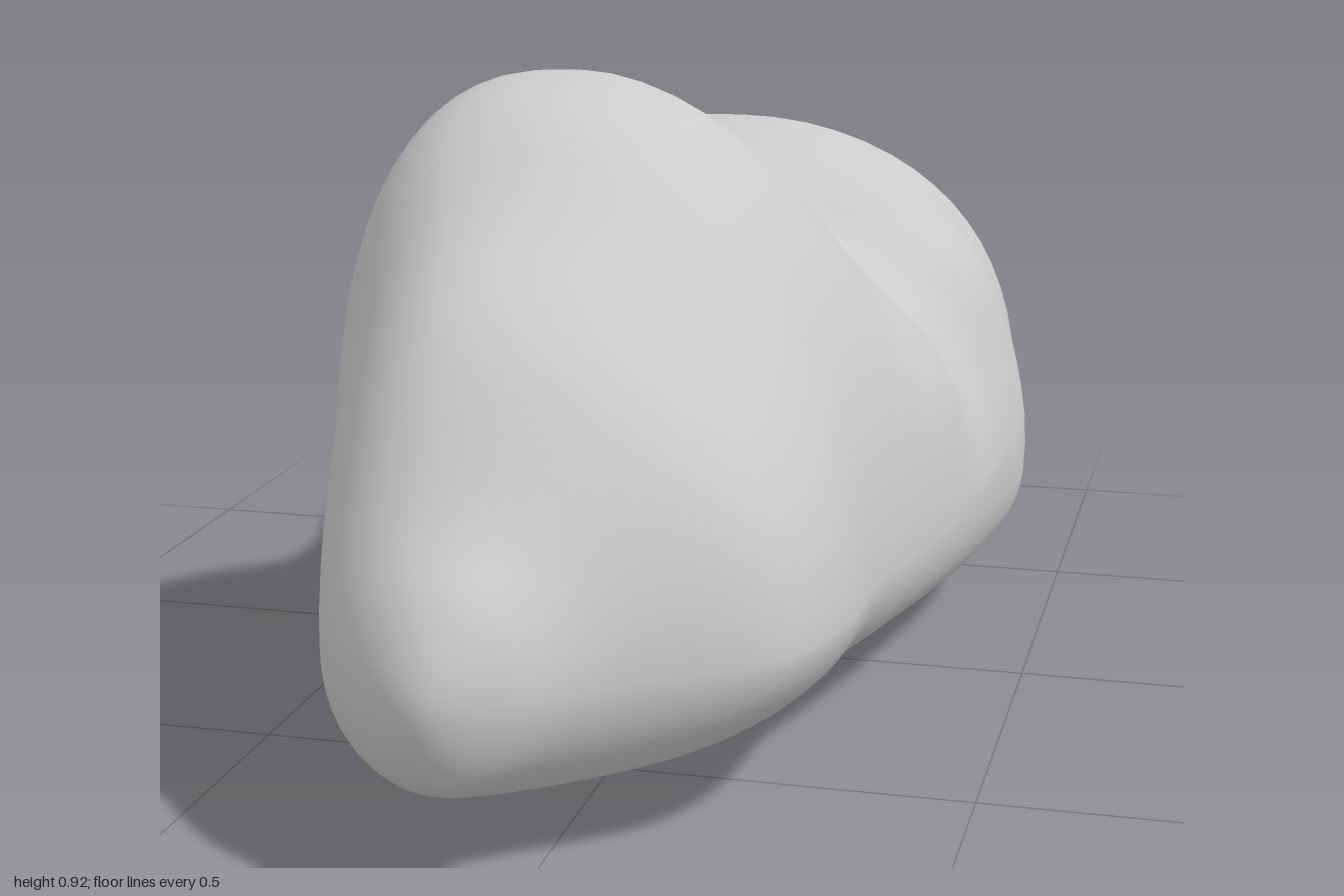
import * as THREE from 'three';
import { mergeVertices } from 'three/addons/utils/BufferGeometryUtils.js';

// Cross-sections from front to back:
// z, left x, right x, bottom y, top y, peak x, roundness of left and right shoulder
const SECTIONS = [
  [1.00, -0.09, -0.09, 0.26, 0.26, -0.09, 2.0, 2.0],
  [0.96, -0.18, 0.00, 0.15, 0.37, -0.09, 2.0, 2.0],
  [0.87, -0.26, 0.10, 0.10, 0.47, -0.10, 2.1, 2.0],
  [0.73, -0.32, 0.28, 0.06, 0.65, -0.12, 2.2, 1.9],
  [0.56, -0.37, 0.34, 0.02, 0.775, -0.12, 2.5, 1.85],
  [0.40, -0.42, 0.35, 0.02, 0.89, -0.12, 2.8, 1.85],
  [0.25, -0.42, 0.38, 0.02, 0.92, -0.11, 2.8, 1.85],
  [0.09, -0.43, 0.41, 0.02, 0.86, -0.10, 2.2, 1.65],
  [-0.07, -0.465, 0.43, 0.01, 0.71, -0.09, 1.8, 1.65],
  [-0.20, -0.44, 0.44, 0.00, 0.675, -0.08, 2.1, 1.8],
  [-0.35, -0.42, 0.455, 0.02, 0.73, -0.06, 2.6, 1.95],
  [-0.50, -0.42, 0.42, 0.03, 0.755, -0.05, 2.8, 2.15],
  [-0.66, -0.36, 0.39, 0.04, 0.69, -0.03, 2.6, 2.4],
  [-0.79, -0.32, 0.28, 0.075, 0.57, -0.02, 2.3, 2.4],
  [-0.87, -0.29, 0.12, 0.10, 0.43, -0.06, 2.0, 2.0],
  [-0.96, -0.19, 0.04, 0.15, 0.35, -0.06, 2.0, 2.0],
  [-1.00, -0.06, -0.06, 0.26, 0.26, -0.06, 2.0, 2.0],
];
const WAIST = 0.26; // height of the widest point

// Soft swellings and hollows: x, y, z, radius, outward push
const BUMPS = [
  [0.28, 0.55, -0.27, 0.14, 0.06],
  [0.28, 0.43, 0.05, 0.13, 0.03],
  [0.10, 0.38, -0.88, 0.09, -0.01],
];

const RINGS = 96, SIDES = 64;

// Smooth value of every section column at t in 0..1, with rounded ends
function sectionAt(t) {
  const last = SECTIONS.length - 1;
  const f = t * last, i = Math.min(Math.floor(f), last - 1), u = f - i;
  const beyond = (end, inner) => end.map((v, c) => (c === 0 ? inner[0] : 2 * v - inner[c]));
  const row = (k) => {
    if (k < 0) return beyond(SECTIONS[0], SECTIONS[1]);
    if (k > last) return beyond(SECTIONS[last], SECTIONS[last - 1]);
    return SECTIONS[k];
  };
  const before = row(i - 1), from = row(i), to = row(i + 1), after = row(i + 2);
  return from.map((b, c) => {
    const d = to[c], m0 = (d - before[c]) / 2, m1 = (after[c] - b) / 2;
    return (2 * u ** 3 - 3 * u ** 2 + 1) * b + (u ** 3 - 2 * u ** 2 + u) * m0
      + (3 * u ** 2 - 2 * u ** 3) * d + (u ** 3 - u ** 2) * m1;
  });
}

// Four superellipse quarters: a leaning dome above a flattened belly
function outlinePoint([z, xl, xr, yb, yt, peak, leftRound, rightRound], angle) {
  const c = Math.cos(angle), s = Math.sin(angle);
  const up = s >= 0, right = c >= 0;
  // The belly is cut away on the right towards the front
  const bellyRight = THREE.MathUtils.clamp(2.4 - 1.2 * z, 1.8, 2.8);
  const n = up ? (right ? rightRound : leftRound) : (right ? bellyRight : 2.2);
  const px = Math.abs(c) ** (2 / n), py = Math.abs(s) ** (2 / n);
  return [
    peak + (right ? xr - peak : xl - peak) * px,
    WAIST + (up ? yt - WAIST : yb - WAIST) * py,
    z,
  ];
}

function cloudGeometry() {
  const positions = [], index = [];
  for (let i = 0; i <= RINGS; i++) {
    const section = sectionAt(i / RINGS);
    for (let j = 0; j < SIDES; j++) {
      positions.push(...outlinePoint(section, (j / SIDES) * Math.PI * 2));
    }
  }
  for (let i = 0; i < RINGS; i++) {
    for (let j = 0; j < SIDES; j++) {
      const a = i * SIDES + j, b = i * SIDES + (j + 1) % SIDES;
      const c = a + SIDES, d = b + SIDES;
      // The first and last bands close to a point
      if (i < RINGS - 1) index.push(a, c, d);
      if (i > 0) index.push(a, d, b);
    }
  }
  let geometry = new THREE.BufferGeometry();
  geometry.setAttribute('position', new THREE.Float32BufferAttribute(positions, 3));
  geometry.setIndex(index);
  geometry = mergeVertices(geometry, 1e-5);
  geometry.computeVertexNormals();

  // Push the surface along its normals at each bump
  const pos = geometry.attributes.position, nor = geometry.attributes.normal;
  const p = new THREE.Vector3(), n = new THREE.Vector3();
  for (let i = 0; i < pos.count; i++) {
    p.fromBufferAttribute(pos, i);
    n.fromBufferAttribute(nor, i);
    let push = 0;
    for (const [x, y, z, r, amount] of BUMPS) {
      const d2 = (p.x - x) ** 2 + (p.y - y) ** 2 + (p.z - z) ** 2;
      push += amount * Math.exp(-d2 / (r * r));
    }
    p.addScaledVector(n, push);
    pos.setXYZ(i, p.x, p.y, p.z);
  }
  geometry.computeVertexNormals();
  return geometry;
}

export function createModel() {
  const group = new THREE.Group();
  group.name = 'cloud';
  const body = new THREE.Mesh(
    cloudGeometry(),
    new THREE.MeshStandardMaterial({ color: 0xcccccc }),
  );
  body.name = 'cloudBody';
  group.add(body);
  return group;
}
